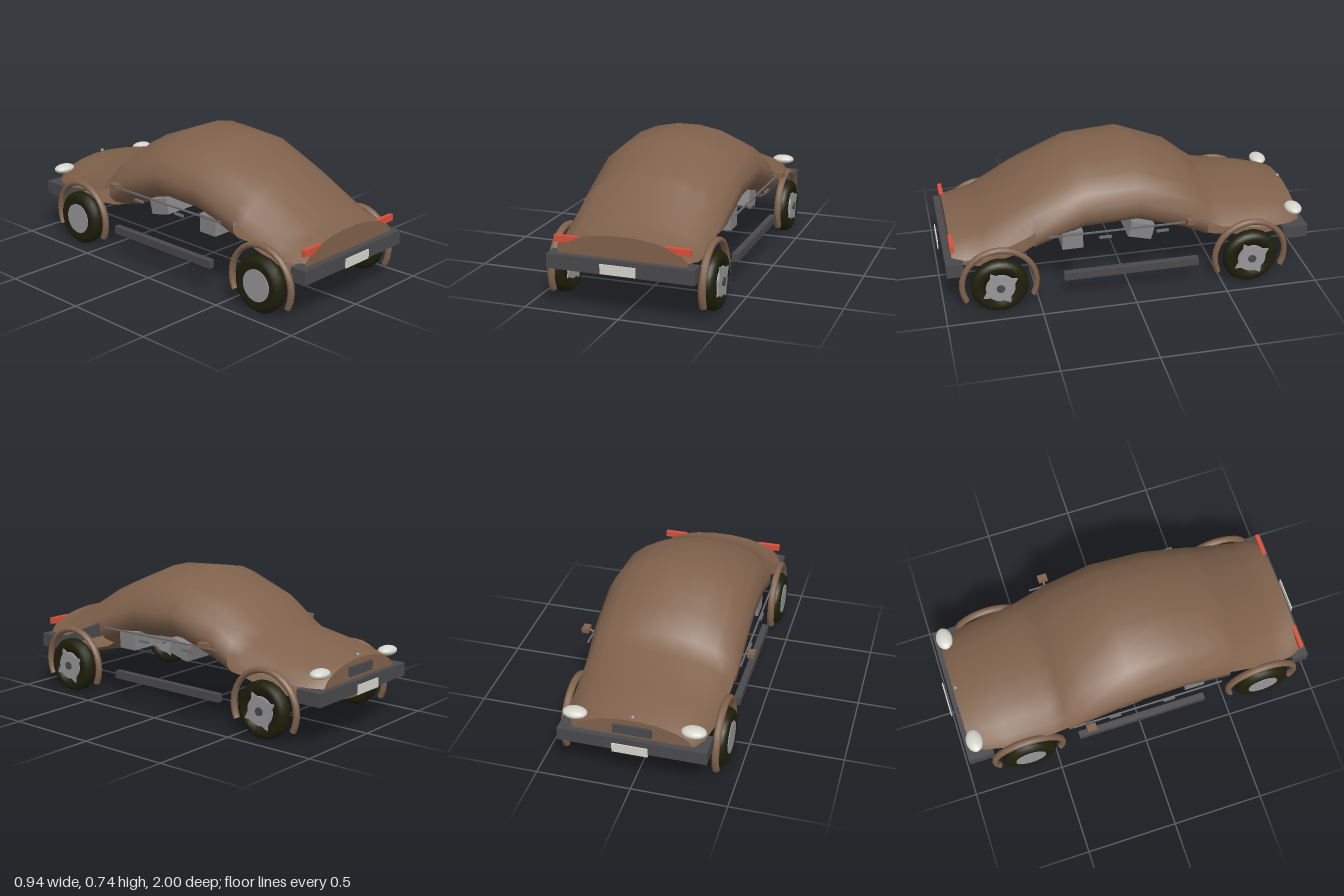
import * as THREE from 'three';

const mat = (name, color, double) => {
  const m = new THREE.MeshStandardMaterial({ color });
  m.name = name;
  if (double) m.side = THREE.DoubleSide;
  return m;
};

export function createModel() {
  const car = new THREE.Group();
  car.name = 'car';
  const paint = mat('brown paint', 0x80624c, true);
  const dark = mat('dark grey bumper', 0x4a4a4d);
  const rubber = mat('black rubber', 0x1f1f0c);
  const steel = mat('grey steel', 0x98989a);
  const seatCloth = mat('seat grey', 0x858587);
  const trimMat = mat('trim grey', 0x6c6c70);
  const glass = mat('lamp white', 0xd6d5cc);
  const red = mat('tail lamp red', 0xd8503c);

  const add = (name, geo, material, x = 0, y = 0, z = 0, parent = car) => {
    const m = new THREE.Mesh(geo, material);
    m.name = name;
    m.position.set(x, y, z);
    parent.add(m);
    return m;
  };
  const box = (name, w, h, d, material, x, y, z) =>
    add(name, new THREE.BoxGeometry(w, h, d), material, x, y, z);

  // Body shell: elliptical sections [z, top, bottom, half width]
  const sections = [
    [0.945, 0.405, 0.215, 0.345], [0.88, 0.42, 0.185, 0.375], [0.78, 0.45, 0.165, 0.388],
    [0.56, 0.592, 0.215, 0.39], [0.51, 0.615, 0.245, 0.392], [0.25, 0.728, 0.335, 0.4],
    [-0.04, 0.747, 0.35, 0.408], [-0.3, 0.643, 0.27, 0.408], [-0.41, 0.55, 0.225, 0.404],
    [-0.49, 0.487, 0.205, 0.4], [-0.75, 0.442, 0.165, 0.385], [-0.88, 0.41, 0.18, 0.355],
    [-0.945, 0.39, 0.195, 0.315],
  ];
  const N = 20;
  const ring = ([z, top, bottom, w]) => {
    const cy = bottom + 0.4 * (top - bottom);
    return Array.from({ length: N }, (_, j) => {
      const a = ((9 + 18 * j) * Math.PI) / 180;
      const c = Math.cos(a);
      return [w * Math.sin(a), cy + c * (c > 0 ? top - cy : cy - bottom) / 0.988, z];
    });
  };
  const index = [];
  for (let i = 0; i < sections.length - 1; i++) {
    const zMid = (sections[i][0] + sections[i + 1][0]) / 2;
    const wheelBay = zMid > 0.51 || zMid < -0.41;
    for (let j = 0; j < N; j++) {
      // open the flanks beside the wheels
      if (wheelBay && ((j >= 4 && j <= 6) || (j >= 12 && j <= 14))) continue;
      const k = (j + 1) % N;
      const a = i * N + j, b = i * N + k, c = a + N, d = b + N;
      index.push(a, b, c, b, d, c);
    }
  }
  const shell = new THREE.BufferGeometry();
  shell.setAttribute('position', new THREE.Float32BufferAttribute(sections.map(ring).flat(2), 3));
  shell.setIndex(index);
  shell.computeVertexNormals();
  add('bodyShell', shell, paint);

  // Flat panels closing both ends
  for (const s of [sections[0], sections[sections.length - 1]]) {
    const outline = new THREE.Shape(ring(s).map(([x, y]) => new THREE.Vector2(x, y)));
    const panel = add('endPanel', new THREE.ShapeGeometry(outline), paint, 0, 0, s[0]);
    if (s[0] < 0) panel.rotation.y = Math.PI;
  }

  // Bumpers and plates
  box('tailBumper', 0.77, 0.075, 0.09, dark, 0, 0.253, 0.935);
  box('noseBumper', 0.77, 0.07, 0.14, dark, 0, 0.255, -0.905);
  for (const s of [1, -1]) box('plate', 0.185, 0.05, 0.006, glass, 0, 0.25, s * 0.997);
  box('grille', 0.2, 0.05, 0.02, dark, 0, 0.335, -0.948);
  add('hoodOrnament', new THREE.SphereGeometry(0.01, 10, 8), steel, 0, 0.402, -0.93);

  // Wheels: the outer face of each hub points to +x
  const tireProfile = [
    [0.07, -0.03], [0.115, -0.04], [0.138, -0.033], [0.15, -0.015],
    [0.15, 0.015], [0.138, 0.033], [0.115, 0.04], [0.07, 0.03], [0.07, -0.03],
  ].map(([r, y]) => new THREE.Vector2(r, y));
  const tireGeo = new THREE.LatheGeometry(tireProfile, 24).rotateZ(-Math.PI / 2);
  const hubGeo = new THREE.CylinderGeometry(0.077, 0.085, 0.078, 24).rotateZ(-Math.PI / 2);
  const capGeo = new THREE.CylinderGeometry(0.022, 0.022, 0.012, 12).rotateZ(-Math.PI / 2);
  const star = new THREE.Shape(Array.from({ length: 16 }, (_, i) => {
    const a = (i / 16) * Math.PI * 2 + 0.5;
    const r = i % 4 === 0 ? 0.105 : 0.07;
    return new THREE.Vector2(r * Math.cos(a), r * Math.sin(a));
  }));
  const starGeo = new THREE.ExtrudeGeometry(star, { depth: 0.006, bevelEnabled: false })
    .rotateY(Math.PI / 2);

  // Fender: a tubular arch over each wheel
  const start = -0.45;
  const fenderGeo = new THREE.TorusGeometry(0.196, 0.016, 8, 18, Math.PI - 2 * start)
    .rotateZ(start).rotateY(Math.PI / 2).scale(1.25, 1, 1);

  for (const z of [0.71, -0.65]) {
    for (const s of [1, -1]) {
      const wheel = new THREE.Group();
      wheel.name = 'wheel';
      wheel.position.set(s * 0.398, 0.152, z);
      car.add(wheel);
      add('tire', tireGeo, rubber, 0, 0, 0, wheel);
      add('hub', hubGeo, steel, 0, 0, 0, wheel);
      add('hubStar', starGeo, steel, 0.036, 0, 0, wheel);
      add('hubCap', capGeo, dark, 0.044, 0, 0, wheel);
      add('fender', fenderGeo, paint, s * 0.396, 0.158, z);
    }
  }

  // Parts mirrored on both sides
  const lamp = new THREE.Shape([
    [0.225, 0.38], [0.29, 0.346], [0.355, 0.346], [0.355, 0.38],
  ].map(([x, y]) => new THREE.Vector2(x, y)));
  const mirrored = new THREE.Shape(lamp.getPoints().map((p) => new THREE.Vector2(-p.x, p.y)));
  for (const s of [1, -1]) {
    const side = s > 0 ? 'left' : 'right';
    add(side + 'TailLamp', new THREE.ExtrudeGeometry(s > 0 ? lamp : mirrored,
      { depth: 0.022, bevelEnabled: false }), red, 0, 0, 0.929);
    add(side + 'Headlamp', new THREE.SphereGeometry(1, 20, 14).scale(0.064, 0.026, 0.045),
      glass, s * 0.305, 0.362, -0.915);
    box(side + 'Sill', 0.035, 0.042, 0.73, dark, s * 0.395, 0.156, 0.005);
    box(side + 'Trim', 0.008, 0.008, 0.84, trimMat, s * 0.415, 0.41, 0.03);
    for (const z of [0.15, -0.155]) {
      box(side + 'DoorHandle', 0.012, 0.012, 0.065, trimMat, s * 0.413, 0.375, z);
    }
    box(side + 'Mirror', 0.038, 0.026, 0.052, paint, s * 0.452, 0.435, -0.3);
    const arm = add(side + 'MirrorArm', new THREE.CylinderGeometry(0.005, 0.005, 0.045, 8),
      trimMat, s * 0.418, 0.426, -0.3);
    arm.rotation.z = -s * 1.2;
    const seat = box(side + 'Seat', 0.2, 0.085, 0.13, seatCloth, s * 0.26, 0.355, -0.055);
    seat.rotation.x = -0.25;
  }
  box('bench', 0.74, 0.1, 0.11, seatCloth, 0, 0.35, 0.315);

  return car;
}
